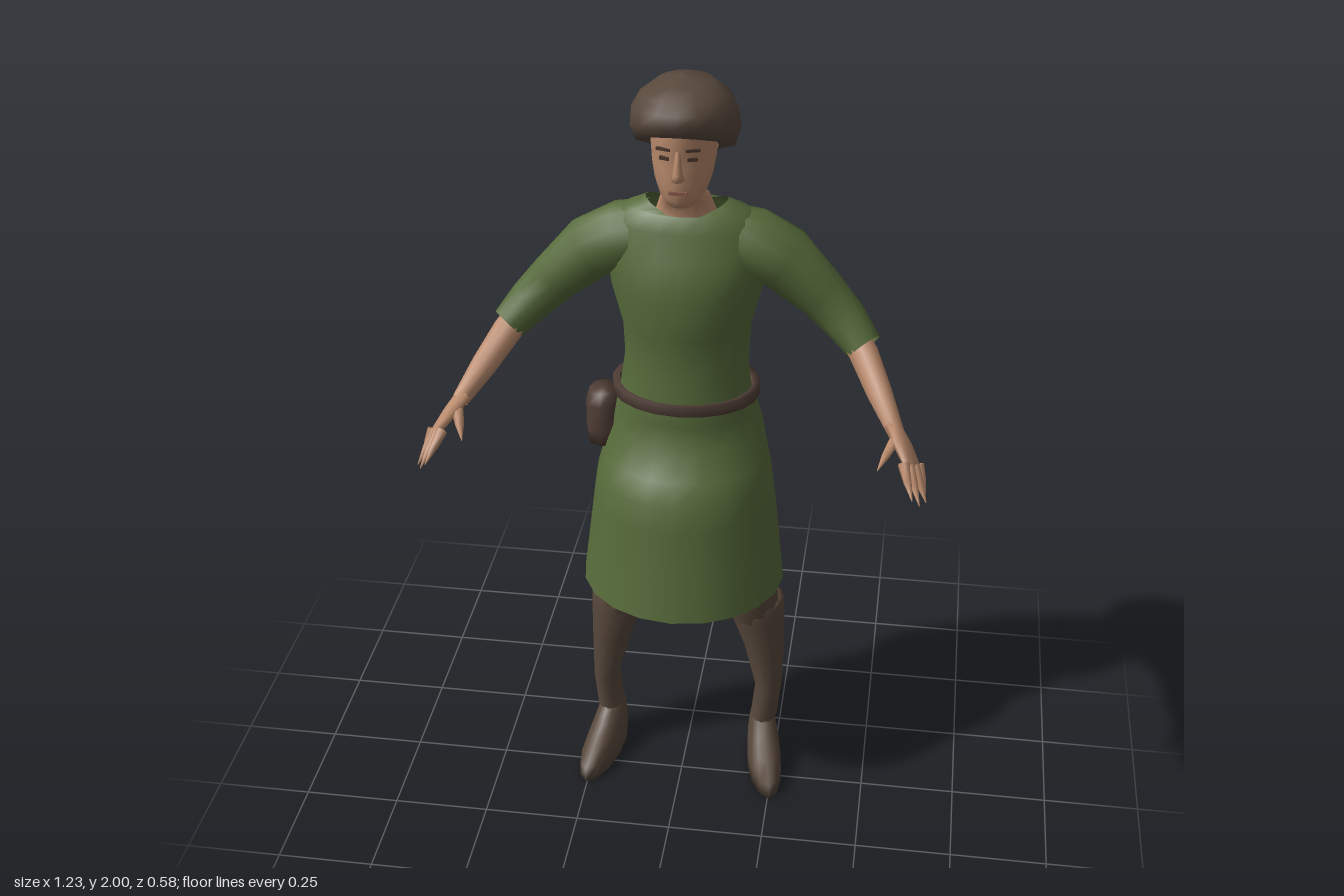
import * as THREE from 'three';

const mat = (name, color, side = THREE.FrontSide) => {
  const m = new THREE.MeshStandardMaterial({ color, side });
  m.name = name;
  return m;
};

// Skin over a list of rings; every point is [x, y, z, radiusU, radiusV].
// Rings lie across the path, or level when flat is true.
function loft(points, { sides = 14, flat = false, tweak } = {}) {
  const pos = [], idx = [];
  const P = points.map((p) => new THREE.Vector3(p[0], p[1], p[2]));
  const zAxis = new THREE.Vector3(0, 0, 1);
  points.forEach((p, i) => {
    const t = flat ? new THREE.Vector3(0, 1, 0)
      : P[Math.min(i + 1, P.length - 1)].clone().sub(P[Math.max(i - 1, 0)]).normalize();
    const u = zAxis.clone().cross(t).normalize();
    const v = t.clone().cross(u);
    for (let k = 0; k < sides; k++) {
      const a = (k / sides) * Math.PI * 2;
      const q = P[i].clone().addScaledVector(u, Math.cos(a) * p[3]).addScaledVector(v, Math.sin(a) * p[4]);
      if (tweak) tweak(q, i, a);
      pos.push(q.x, q.y, q.z);
      if (i < points.length - 1) {
        const A = i * sides + k, B = i * sides + (k + 1) % sides;
        idx.push(A, B, B + sides, A, B + sides, A + sides);
      }
    }
  });
  const g = new THREE.BufferGeometry();
  g.setAttribute('position', new THREE.Float32BufferAttribute(pos, 3));
  g.setIndex(idx);
  g.computeVertexNormals();
  return g;
}

// Level rows [y, halfWidth, zFront, zBack] turned into ring points.
const rows = (list, x = 0) => list.map(([y, rx, zf, zb]) => [x, y, (zf + zb) / 2, rx, (zf - zb) / 2]);

export function createModel() {
  const model = new THREE.Group();
  const green = mat('green cloth', 0x566a3a, THREE.DoubleSide);
  const brown = mat('brown wool', 0x58483c, THREE.DoubleSide);
  const leather = mat('dark leather', 0x4f3d35, THREE.DoubleSide);
  const skin = mat('skin', 0xb98a6c, THREE.DoubleSide);
  const dark = mat('eye brown', 0x4a362c);
  const lip = mat('lip', 0x8a5a4a);
  const add = (name, geo, m, parent = model) => {
    const mesh = new THREE.Mesh(geo, m);
    mesh.name = name;
    parent.add(mesh);
    return mesh;
  };
  const box = (name, w, h, d, x, y, z, m) => {
    const b = add(name, new THREE.BoxGeometry(w, h, d), m);
    b.position.set(x, y, z);
    return b;
  };

  // Tunic: flared skirt, waist, chest and dipped neckline
  const tunic = rows([
    [0.645, 0.262, 0.205, -0.29], [0.75, 0.25, 0.18, -0.288], [0.88, 0.235, 0.157, -0.28],
    [0.95, 0.225, 0.148, -0.276], [1.0, 0.212, 0.11, -0.272], [1.07, 0.196, 0.06, -0.26],
    [1.13, 0.18, 0.055, -0.238], [1.18, 0.166, 0.055, -0.218], [1.26, 0.155, 0.035, -0.213],
    [1.36, 0.16, 0.04, -0.228], [1.47, 0.188, 0.053, -0.232], [1.55, 0.2, 0.022, -0.222],
    [1.62, 0.195, -0.005, -0.195], [1.66, 0.15, -0.02, -0.17], [1.685, 0.1, -0.035, -0.15],
  ]);
  add('tunic', loft(tunic, {
    sides: 20, flat: true,
    tweak: (q, i, a) => { if (i === tunic.length - 1) q.y -= 0.03 * Math.sin(a) ** 2; },
  }), green);

  // Belt standing slightly off the waist
  add('belt', loft(rows([
    [1.168, 0.168, 0.058, -0.215], [1.168, 0.186, 0.066, -0.228],
    [1.198, 0.186, 0.066, -0.228], [1.198, 0.168, 0.058, -0.215],
  ]), { sides: 20, flat: true }), leather);

  // Hip pouch
  add('pouch', loft(rows([
    [1.01, 0.001, -0.08, -0.082], [1.01, 0.042, -0.03, -0.13], [1.05, 0.046, -0.025, -0.14],
    [1.12, 0.045, -0.03, -0.135], [1.155, 0.035, -0.04, -0.125], [1.157, 0.001, -0.08, -0.082],
  ], -0.212), { sides: 8, flat: true }), leather);

  // Neck and head
  add('head', loft(rows([
    [1.6, 0.1, -0.03, -0.16], [1.66, 0.072, -0.025, -0.135], [1.705, 0.058, -0.012, -0.118],
    [1.712, 0.042, 0.045, -0.115], [1.735, 0.056, 0.06, -0.125], [1.77, 0.068, 0.063, -0.14],
    [1.81, 0.075, 0.064, -0.155], [1.845, 0.078, 0.062, -0.165], [1.875, 0.08, 0.071, -0.17],
    [1.93, 0.08, 0.065, -0.17],
  ]), { sides: 18, flat: true }), skin);
  add('nose', loft(rows([
    [1.783, 0.004, 0.065, 0.04], [1.79, 0.016, 0.085, 0.04], [1.805, 0.012, 0.082, 0.04],
    [1.86, 0.007, 0.068, 0.04],
  ]), { sides: 8, flat: true }), skin);
  box('mouth', 0.042, 0.008, 0.008, 0, 1.756, 0.06, lip);
  for (const s of [-1, 1]) {
    box('eye', 0.024, 0.008, 0.008, s * 0.032, 1.838, 0.052, dark).rotation.y = s * 0.3;
    box('eyebrow', 0.034, 0.006, 0.008, s * 0.034, 1.862, 0.058, dark).rotation.y = s * 0.3;
  }

  // Bowl-cut hair: rim is high over the brow and low at the nape
  const hairLevels = [[0, 0.6], [0, 0.9], [0.25, 1], [0.52, 0.97], [0.75, 0.8], [0.92, 0.5], [1, 0.01]];
  add('hair', loft(hairLevels.map(([, s]) => [0, 0, -0.06, 0.13 * s, 0.155 * s]), {
    sides: 16, flat: true,
    tweak: (q, i, a) => {
      const rim = 1.833 + 0.065 * Math.sin(a);
      q.y = rim + (2 - rim) * hairLevels[i][0];
    },
  }), brown);

  for (const s of [-1, 1]) {
    const side = s > 0 ? 'left' : 'right';
    const limb = (name, pts, m, sides = 12, parent = model) =>
      add(name, loft(pts.map(([x, ...r]) => [s * x, ...r]), { sides }), m, parent);

    // Sleeve and forearm
    limb(side + 'Sleeve', [
      [0.08, 1.585, -0.1, 0.085, 0.07], [0.16, 1.57, -0.1, 0.086, 0.088], [0.235, 1.535, -0.1, 0.08, 0.082],
      [0.33, 1.445, -0.1, 0.064, 0.06], [0.39, 1.385, -0.085, 0.056, 0.056], [0.44, 1.335, -0.05, 0.045, 0.048],
    ], green);
    limb(side + 'Forearm', [
      [0.4, 1.375, -0.07, 0.036, 0.036], [0.44, 1.325, -0.035, 0.037, 0.037],
      [0.485, 1.265, 0.045, 0.032, 0.032], [0.53, 1.205, 0.12, 0.021, 0.024],
    ], skin, 10);

    // Hand with spread, pointed fingers
    const hand = new THREE.Group();
    hand.name = side + 'Hand';
    model.add(hand);
    limb('palm', [
      [0.522, 1.215, 0.11, 0.02, 0.024], [0.55, 1.185, 0.15, 0.017, 0.038],
      [0.575, 1.155, 0.19, 0.012, 0.042], [0.58, 1.148, 0.198, 0.001, 0.03],
    ], skin, 8, hand);
    const fingers = [
      ['thumb', [0.53, 1.195, 0.15], [0.496, 1.17, 0.252]],
      ['indexFinger', [0.555, 1.17, 0.212], [0.582, 1.115, 0.285]],
      ['middleFinger', [0.568, 1.16, 0.198], [0.6, 1.092, 0.268]],
      ['ringFinger', [0.58, 1.15, 0.182], [0.615, 1.082, 0.235]],
      ['littleFinger', [0.59, 1.145, 0.165], [0.612, 1.085, 0.195]],
    ];
    for (const [name, a, b] of fingers) {
      const mid = a.map((v, i) => v * 0.5 + b[i] * 0.5);
      limb(name, [[...a, 0.014, 0.015], [...mid, 0.01, 0.011], [...b, 0.001, 0.001]], skin, 6, hand);
    }

    // Thigh, then calf wrapping with an overlapping top edge
    const level = (name, pts, parent = model) =>
      add(name, loft(pts.map(([x, ...r]) => [s * x, ...r]), { sides: 12, flat: true }), brown, parent);
    level(side + 'Thigh', [
      [0.182, 0.48, -0.11, 0.068, 0.072], [0.175, 0.56, -0.09, 0.07, 0.072],
      [0.158, 0.66, -0.08, 0.072, 0.074], [0.13, 0.85, -0.07, 0.085, 0.09],
    ]);
    level(side + 'Calf', [
      [0.216, 0.135, -0.112, 0.036, 0.05], [0.226, 0.24, -0.115, 0.036, 0.056],
      [0.209, 0.38, -0.122, 0.056, 0.072], [0.19, 0.48, -0.118, 0.073, 0.082],
      [0.187, 0.525, -0.115, 0.074, 0.083], [0.184, 0.53, -0.112, 0.066, 0.073],
    ]);

    // Shoe turned slightly outward about the ankle
    const shoe = new THREE.Group();
    shoe.name = side + 'Shoe';
    shoe.position.set(s * 0.212, 0, -0.11);
    shoe.rotation.y = s * 0.2;
    model.add(shoe);
    level('shoeBody', [
      [0, 0.003, 0.07, 0.001, 0.001], [0, 0.003, 0.07, 0.046, 0.143], [0, 0.045, 0.068, 0.046, 0.142],
      [0, 0.075, 0.038, 0.043, 0.108], [0, 0.105, 0.012, 0.038, 0.075],
      [0, 0.13, 0, 0.033, 0.053], [0, 0.14, 0, 0.028, 0.045],
    ], shoe);
  }
  return model;
}
